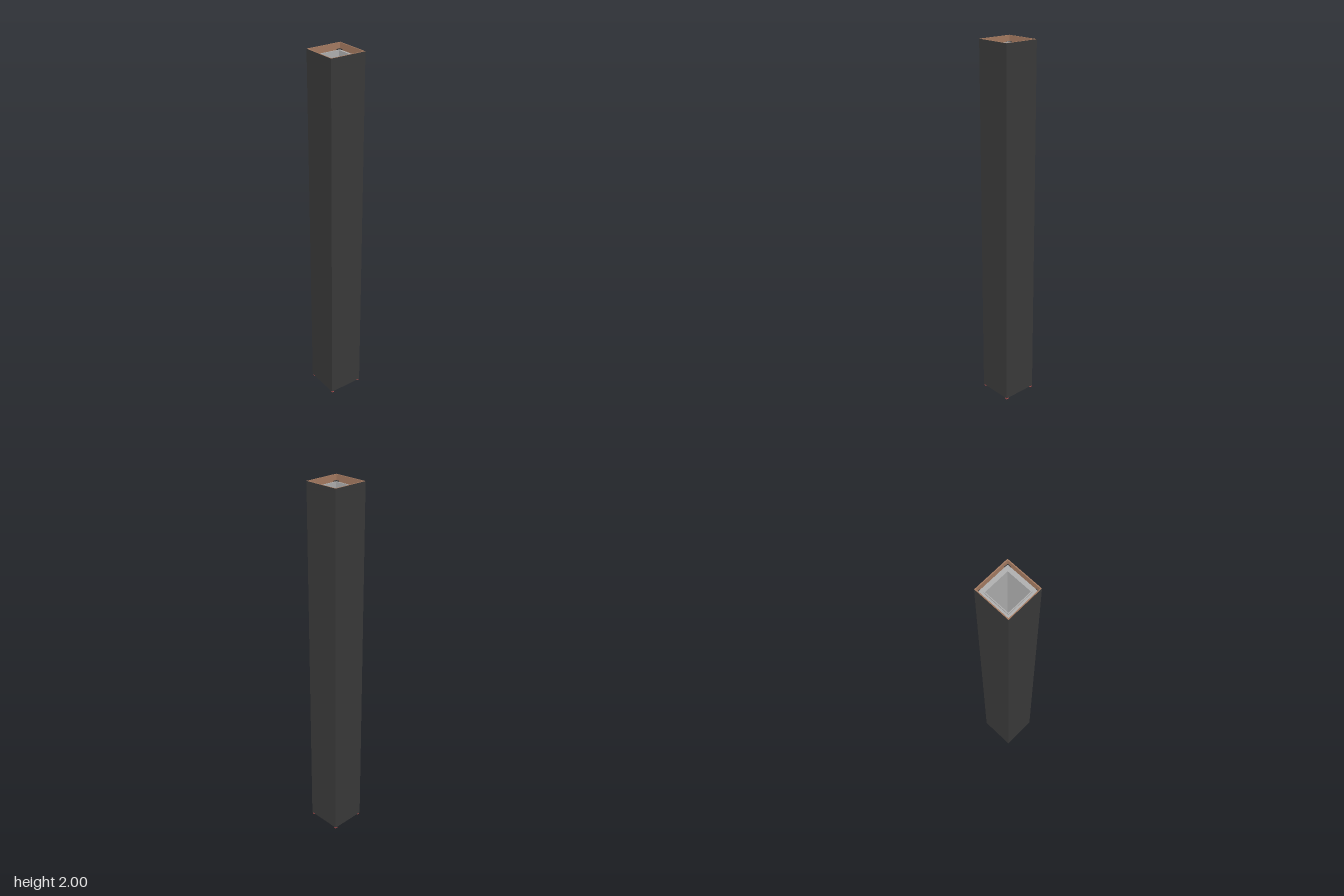
import * as THREE from 'three';

const mat = (color) => new THREE.MeshStandardMaterial({ color, side: THREE.DoubleSide });
const DARK = mat(0x3a3a3a), BROWN = mat(0xa67c62), GREY = mat(0xb0b0b0);
const RED = mat(0xe05a5a), BLUE = mat(0x62b4e0), GREEN = mat(0x3a4a20);

export function createModel() {
  const model = new THREE.Group();

  const square = (Type, h) => new Type([[-h, -h], [h, -h], [h, h], [-h, h]].map(([x, y]) => new THREE.Vector2(x, y)));

  // Square tube between two half widths, from y0 to y1
  function ring(name, outer, inner, y0, y1, material) {
    const shape = square(THREE.Shape, outer);
    shape.holes.push(square(THREE.Path, inner));
    const geometry = new THREE.ExtrudeGeometry(shape, { depth: y1 - y0, bevelEnabled: false });
    geometry.rotateX(-Math.PI / 2).translate(0, y0, 0);
    const mesh = new THREE.Mesh(geometry, material);
    mesh.name = name;
    model.add(mesh);
  }

  function box(name, w, h, d, x, y, z, material) {
    const mesh = new THREE.Mesh(new THREE.BoxGeometry(w, h, d), material);
    mesh.position.set(x, y, z);
    mesh.name = name;
    model.add(mesh);
  }

  // Outer shell: dark cladding over a brown wall
  ring('cladding', 0.1, 0.0996, 0.008, 1.9995, DARK);
  ring('wall', 0.0996, 0.0945, 0.008, 2, BROWN);

  // Recessed roof deck and the raised edge round its opening
  ring('roofDeck', 0.0932, 0.073, 1.955, 1.965, GREY);
  ring('roofCurb', 0.0725, 0.068, 1.955, 1.972, GREY);

  // Inner shaft with its red lining and blue floor
  ring('shaft', 0.0725, 0.068, 0.02, 1.955, GREY);
  ring('shaftLining', 0.067, 0.0585, 0.012, 0.06, RED);
  box('shaftFloor', 0.116, 0.008, 0.116, 0, 0.05, 0, BLUE);
  box('hatch', 0.012, 0.01, 0.026, -0.053, 0.058, 0.042, BLUE);

  // Underside frames
  ring('baseFrame', 0.093, 0.073, 0.01, 0.02, BROWN);
  ring('baseInnerFrame', 0.05, 0.036, 0.01, 0.046, RED);
  box('basePlate', 0.06, 0.006, 0.06, 0, 0.035, 0, GREEN);

  // Corner brackets at the deck and small feet below
  for (const sx of [-1, 1]) for (const sz of [-1, 1]) {
    box('cornerBracket', 0.02, 0.03, 0.0015, sx * 0.084, 1.955, sz * 0.0937, DARK);
    box('cornerBracket', 0.0015, 0.03, 0.02, sx * 0.0937, 1.955, sz * 0.084, DARK);
    box('foot', 0.014, 0.012, 0.014, sx * 0.09, 0.006, sz * 0.09, RED);
  }
  return model;
}
